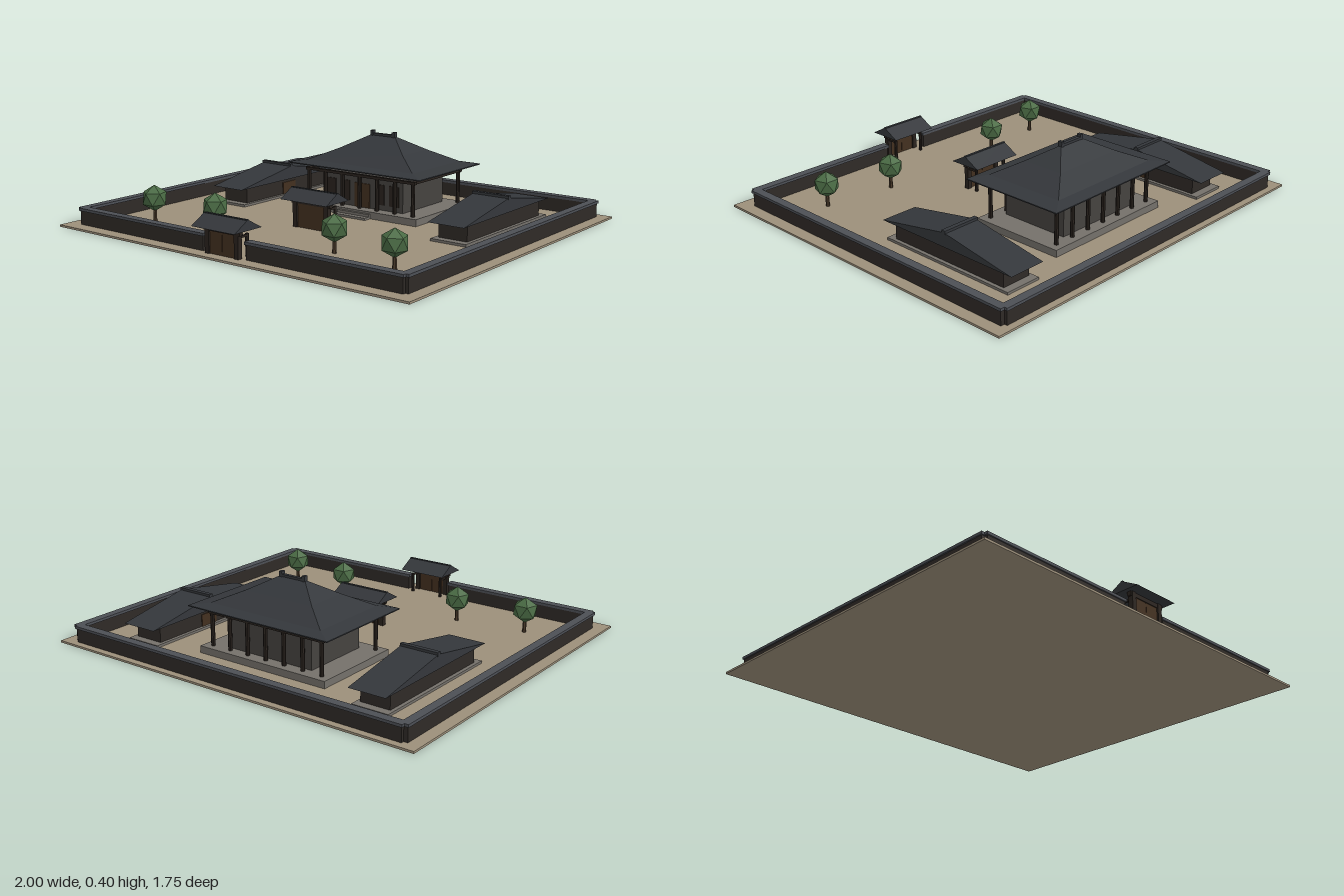
import * as THREE from 'three';

const mat = (color) => new THREE.MeshStandardMaterial({ color, flatShading: true, side: THREE.DoubleSide });
const M = {
  ground: mat(0x9c8f7a), tile: mat(0x34373b), cap: mat(0x4c4f55), wall: mat(0x2f2a26),
  wood: mat(0x2a231e), door: mat(0x43301f), panel: mat(0x45423f), stone: mat(0x74706a),
  leaf: mat(0x4a6b44), trunk: mat(0x4a3a2a),
};

function add(parent, name, geometry, material, x = 0, y = 0, z = 0) {
  const mesh = new THREE.Mesh(geometry, material);
  mesh.name = name;
  mesh.position.set(x, y, z);
  parent.add(mesh);
  return mesh;
}

// Box given by its size, centre in x and z, and bottom height
function box(parent, name, material, w, h, d, x, y, z) {
  return add(parent, name, new THREE.BoxGeometry(w, h, d), material, x, y + h / 2, z);
}

function post(parent, name, r, h, x, y, z) {
  return add(parent, name, new THREE.CylinderGeometry(r, r, h, 8), M.wood, x, y + h / 2, z);
}

function group(parent, name, x = 0, z = 0) {
  const g = new THREE.Group();
  g.name = name;
  g.position.set(x, 0, z);
  parent.add(g);
  return g;
}

// Solid gable with its ridge along x
function gable(width, depth, height) {
  const s = new THREE.Shape();
  s.moveTo(-depth / 2, 0);
  s.lineTo(depth / 2, 0);
  s.lineTo(0, height);
  s.closePath();
  const g = new THREE.ExtrudeGeometry(s, { depth: width, bevelEnabled: false });
  g.translate(0, 0, -width / 2);
  g.rotateY(Math.PI / 2);
  return g;
}

// Hip roof lofted through rectangles [half width, height, half depth]
function hipRoof(rings) {
  const pos = [], idx = [];
  for (const [w, y, d] of rings) pos.push(-w, y, d, w, y, d, w, y, -d, -w, y, -d);
  for (let r = 0; r < rings.length - 1; r++) {
    for (let i = 0; i < 4; i++) {
      const a = r * 4 + i, b = r * 4 + (i + 1) % 4;
      idx.push(a, b, b + 4, a, b + 4, a + 4);
    }
  }
  const t = (rings.length - 1) * 4;
  idx.push(0, 2, 1, 0, 3, 2, t, t + 1, t + 2, t, t + 2, t + 3);
  const g = new THREE.BufferGeometry();
  g.setAttribute('position', new THREE.Float32BufferAttribute(pos, 3));
  g.setIndex(idx);
  const flat = g.toNonIndexed();
  flat.computeVertexNormals();
  return flat;
}

function buildWalls(root) {
  const g = group(root, 'perimeterWall');
  const run = (name, w, d, x, z) => {
    box(g, name, M.wall, w, 0.075, d, x, 0.003, z);
    box(g, name + 'Cap', M.cap, w + 0.012, 0.013, d + 0.012, x, 0.077, z);
  };
  run('backWall', 1.84, 0.03, 0, -0.83);
  for (const s of [-1, 1]) {
    run('sideWall', 0.03, 1.62, s * 0.925, -0.02);
    run('frontWall', 0.8, 0.03, s * 0.525, 0.79);
  }
}

function buildHall(root) {
  const g = group(root, 'mainHall', 0, -0.36);
  box(g, 'platform', M.stone, 0.72, 0.04, 0.48, 0, 0.004, 0);
  box(g, 'lowerStep', M.stone, 0.19, 0.017, 0.06, 0, 0.004, 0.255);
  box(g, 'upperStep', M.stone, 0.19, 0.03, 0.03, 0, 0.004, 0.24);
  box(g, 'hallBody', M.panel, 0.48, 0.155, 0.35, 0, 0.044, 0);
  // Colonnade with beams
  for (const s of [-1, 1]) {
    for (let i = -3; i <= 3; i++) post(g, 'column', 0.01, 0.16, i * 0.105, 0.044, s * 0.2);
    box(g, 'longBeam', M.wood, 0.66, 0.013, 0.018, 0, 0.2, s * 0.2);
    box(g, 'endBeam', M.wood, 0.018, 0.013, 0.41, s * 0.315, 0.2, 0);
    box(g, 'ridgeOrnament', M.tile, 0.016, 0.03, 0.022, s * 0.065, 0.37, 0);
  }
  // Front doors and lattice panels
  box(g, 'doors', M.door, 0.09, 0.12, 0.008, 0, 0.044, 0.176);
  for (const s of [-1, 1]) {
    for (const x of [0.105, 0.19]) box(g, 'lattice', M.wood, 0.055, 0.1, 0.006, s * x, 0.07, 0.176);
  }
  add(g, 'hipRoof', hipRoof([
    [0.397, 0.236, 0.27], [0.397, 0.241, 0.27], [0.315, 0.254, 0.208],
    [0.19, 0.312, 0.108], [0.075, 0.376, 0.008],
  ]), M.tile);
  box(g, 'ridge', M.tile, 0.145, 0.016, 0.018, 0, 0.371, 0);
}

function buildSideHall(root, s) {
  const g = group(root, 'sideHall', s * 0.652, -0.31);
  box(g, 'platform', M.stone, 0.186, 0.018, 0.74, 0, 0.004, 0);
  box(g, 'hallBody', M.wall, 0.15, 0.08, 0.66, 0, 0.022, 0);
  box(g, 'doors', M.door, 0.006, 0.06, 0.1, -s * 0.076, 0.022, 0);
  add(g, 'gableRoof', gable(0.19, 0.785, 0.068), M.tile, 0, 0.1, 0);
  box(g, 'ridge', M.tile, 0.194, 0.018, 0.022, 0, 0.16, 0);
}

function buildGate(root, name, z, width, eave) {
  const g = group(root, name, 0, z);
  const x = width * 0.34;
  for (const s of [-1, 1]) {
    box(g, 'gatePost', M.wood, 0.024, eave, 0.024, s * x, 0.002, 0.022);
    post(g, 'rearPost', 0.008, eave - 0.025, s * x, 0.002, -0.036);
    box(g, 'braceBeam', M.wood, 0.01, 0.01, 0.06, s * x, eave - 0.036, -0.008);
  }
  box(g, 'lintel', M.wood, width * 0.84, 0.02, 0.02, 0, eave - 0.022, 0.022);
  for (const s of [-1, 1]) box(g, 'doorLeaf', M.door, x - 0.014, eave - 0.03, 0.01, s * (x - 0.012) / 2, 0.008, 0.022);
  add(g, 'gateRoof', gable(width, 0.172, 0.048), M.tile, 0, eave, 0);
  box(g, 'gateRidge', M.tile, width, 0.008, 0.012, 0, eave + 0.04, 0);
}

function buildTree(root, x, z) {
  const g = group(root, 'tree', x, z);
  add(g, 'trunk', new THREE.CylinderGeometry(0.008, 0.01, 0.08, 6), M.trunk, 0, 0.044, 0);
  // Turn one vertex of the crown straight up
  const crown = new THREE.IcosahedronGeometry(0.064, 0);
  crown.rotateX(-Math.atan((1 + Math.sqrt(5)) / 2));
  add(g, 'crown', crown, M.leaf, 0, 0.122, 0);
}

export function createModel() {
  const root = new THREE.Group();
  root.name = 'walledCourtyard';
  box(root, 'ground', M.ground, 2, 0.01, 1.75, 0, 0, -0.004);
  buildWalls(root);
  buildHall(root);
  for (const s of [-1, 1]) {
    buildSideHall(root, s);
    buildTree(root, s * 0.7, 0.54);
    buildTree(root, s * 0.35, 0.49);
  }
  buildGate(root, 'innerGate', 0.19, 0.272, 0.146);
  buildGate(root, 'frontGate', 0.79, 0.25, 0.134);
  return root;
}
